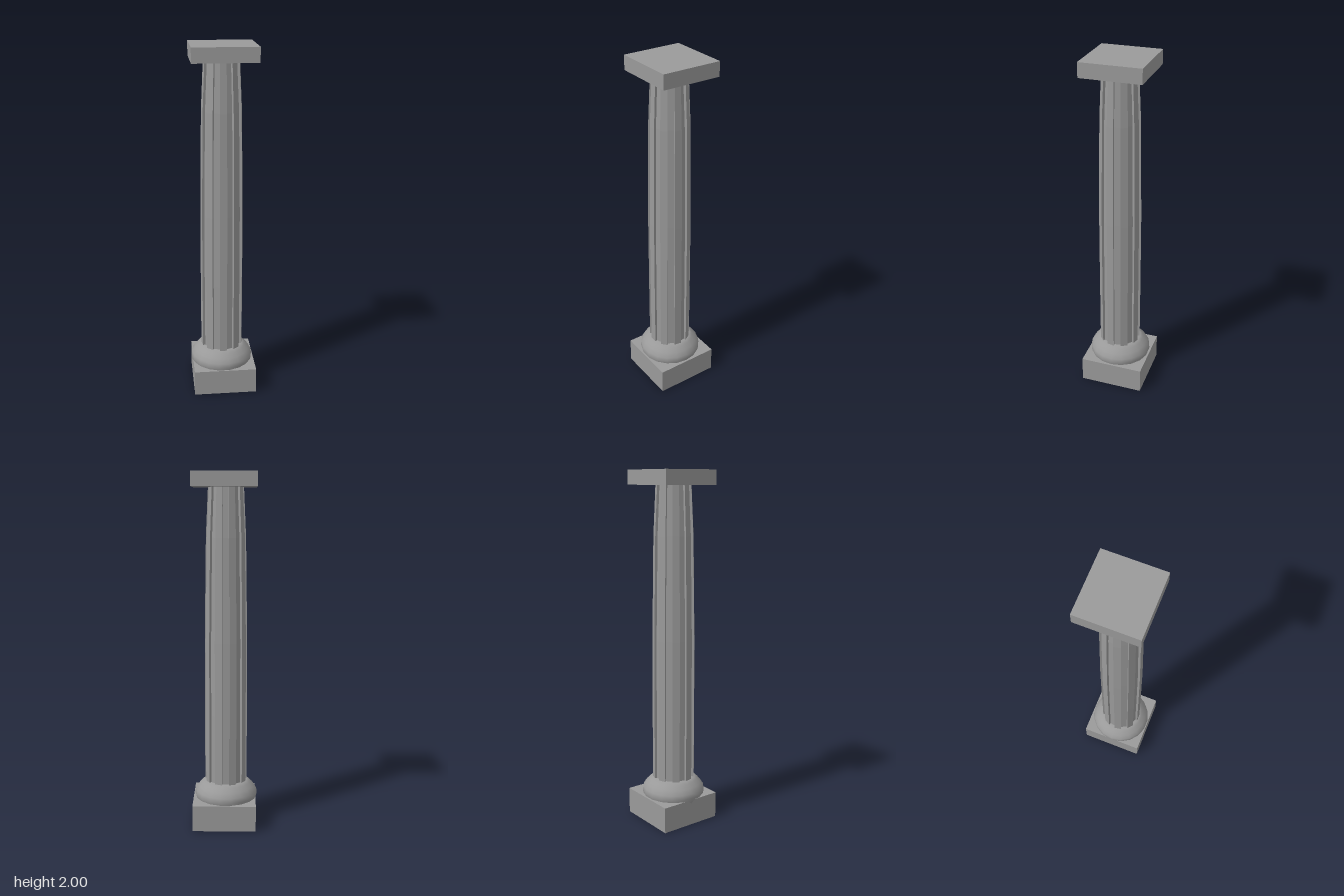
import * as THREE from 'three';

const stone = new THREE.MeshStandardMaterial({ color: 0x9a9a9a });
stone.name = 'grey stone';

function addMesh(group, name, geometry, x, y, z) {
  const mesh = new THREE.Mesh(geometry, stone);
  mesh.name = name;
  mesh.position.set(x, y, z);
  group.add(mesh);
}

// Fluted shaft: alternating ridges and recessed grooves, tapering upward
function shaftGeometry() {
  const flutes = 9, depth = 0.014;
  const rows = [[0.2, 0.121], [0.65, 0.121], [1.07, 0.12], [1.65, 0.111], [1.93, 0.098]];
  const section = [];
  for (let i = 0; i < flutes; i++) {
    const a = 40 * i;
    section.push([a - 10, 0], [a + 10, 0], [a + 10, depth], [a + 30, depth]);
  }
  const n = section.length;
  const point = (row, i) => {
    const [degrees, inset] = section[i % n];
    const a = THREE.MathUtils.degToRad(degrees);
    const r = row[1] - inset;
    return [r * Math.sin(a), row[0], r * Math.cos(a)];
  };
  const positions = [];
  for (let j = 0; j < rows.length - 1; j++) {
    for (let i = 0; i < n; i++) {
      const a = point(rows[j], i), b = point(rows[j], i + 1);
      const c = point(rows[j + 1], i + 1), d = point(rows[j + 1], i);
      positions.push(...a, ...b, ...c, ...a, ...c, ...d);
    }
  }
  const geometry = new THREE.BufferGeometry();
  geometry.setAttribute('position', new THREE.Float32BufferAttribute(positions, 3));
  geometry.computeVertexNormals();
  return geometry;
}

// Rounded collar with its flat top closed around the shaft
function collarGeometry() {
  const profile = [
    [0.15, 0.11], [0.172, 0.13], [0.181, 0.165], [0.177, 0.19],
    [0.16, 0.215], [0.138, 0.237], [0.121, 0.25], [0.09, 0.25],
  ].map(([r, y]) => new THREE.Vector2(r, y));
  return new THREE.LatheGeometry(profile, 18, Math.PI / 18);
}

export function createModel() {
  const column = new THREE.Group();
  column.name = 'column';
  addMesh(column, 'plinth', new THREE.BoxGeometry(0.36, 0.15, 0.369), 0.003, 0.075, -0.001);
  addMesh(column, 'collar', collarGeometry(), -0.005, 0, 0.001);
  addMesh(column, 'shaft', shaftGeometry(), -0.004, 0, 0.003);
  addMesh(column, 'capSlab', new THREE.BoxGeometry(0.353, 0.08, 0.336), 0.003, 1.96, -0.005);
  return column;
}
